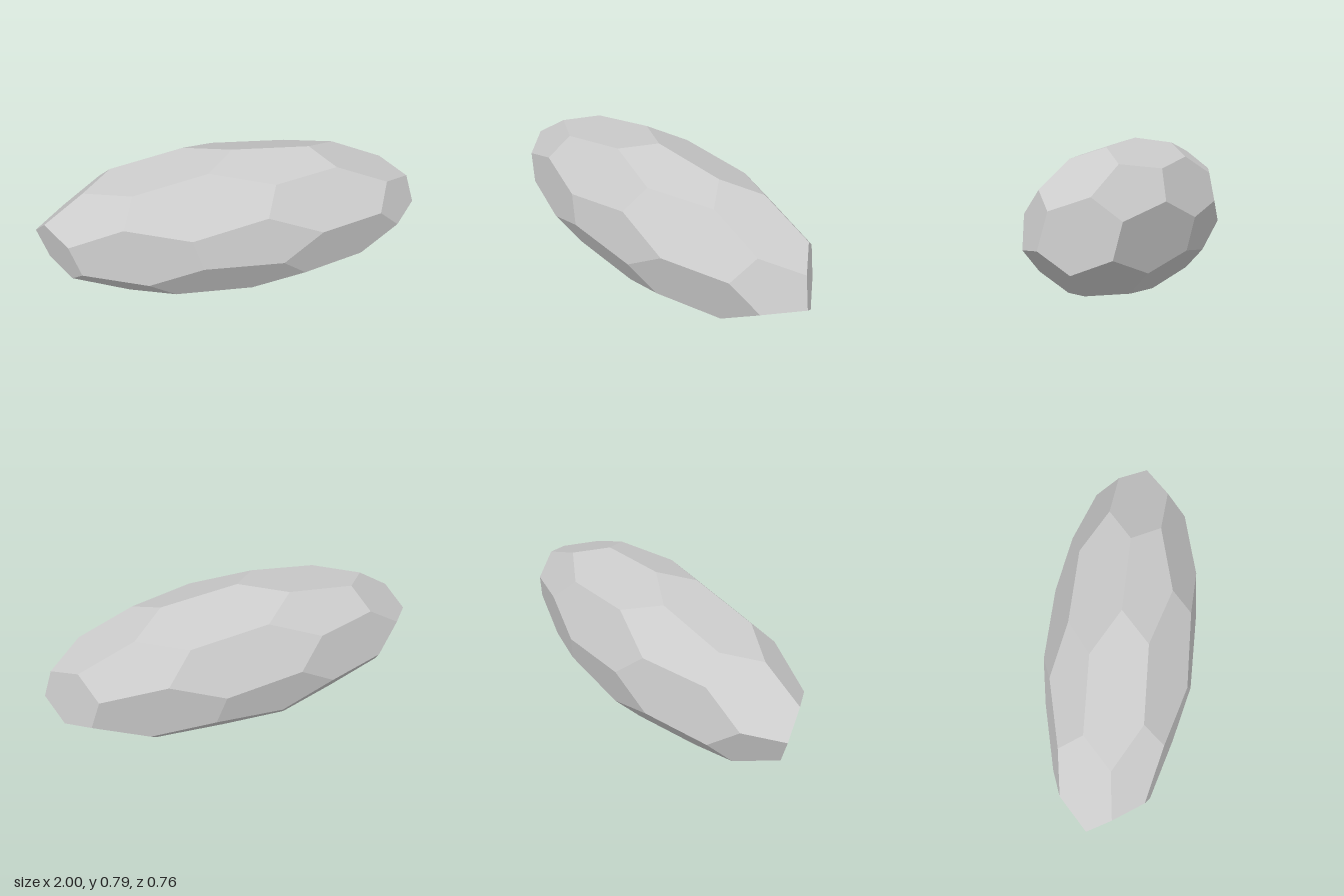
import * as THREE from 'three';

// Stretched truncated icosahedron: 12 pentagons and 20 hexagons
export function createModel() {
  const RADIUS = 0.3925;
  const pos = new THREE.IcosahedronGeometry(1, 0).getAttribute('position');
  const corners = [];
  const addUnique = (list, v) => {
    if (!list.some((w) => w.distanceTo(v) < 1e-3)) list.push(v);
  };
  const third = (a, b) => a.clone().lerp(b, 1 / 3);

  // Cut every icosahedron edge at its thirds
  const points = [], axes = [];
  for (let i = 0; i < pos.count; i += 3) {
    const tri = [0, 1, 2].map((k) => new THREE.Vector3().fromBufferAttribute(pos, i + k));
    corners.push(tri);
    tri.forEach((a, k) => {
      addUnique(axes, a.clone().normalize());
      addUnique(points, third(a, tri[(k + 1) % 3]));
      addUnique(points, third(a, tri[(k + 2) % 3]));
    });
  }
  for (const [a, b, c] of corners) axes.push(a.clone().add(b).add(c).normalize());

  // Stand it on one vertex, with a pentagon edge running towards +x
  const [a, b, c] = corners[0];
  const p = third(a, c), q = third(a, b);
  const up = p.clone().normalize();
  const right = q.clone().sub(p);
  right.addScaledVector(up, -right.dot(up)).normalize();
  const front = new THREE.Vector3().crossVectors(right, up);
  const turn = new THREE.Matrix4().makeBasis(right, up, front).transpose();
  const size = RADIUS / p.length();
  points.forEach((v) => v.applyMatrix4(turn).multiplyScalar(size));
  axes.forEach((v) => v.applyMatrix4(turn));
  const stretch = 1 / Math.max(...points.map((v) => v.x));

  // Each face: the points farthest along its axis, ordered around it
  const verts = [];
  for (const n of axes) {
    const far = Math.max(...points.map((v) => v.dot(n)));
    const ring = points.filter((v) => v.dot(n) > far - 1e-3);
    const e1 = ring[0].clone().addScaledVector(n, -far).normalize();
    const e2 = new THREE.Vector3().crossVectors(n, e1);
    const angle = (v) => Math.atan2(v.dot(e2), v.dot(e1));
    ring.sort((v, w) => angle(v) - angle(w));
    for (let i = 1; i < ring.length - 1; i++) {
      for (const v of [ring[0], ring[i], ring[i + 1]]) verts.push(v.x * stretch, v.y + RADIUS, v.z);
    }
  }

  const geometry = new THREE.BufferGeometry();
  geometry.setAttribute('position', new THREE.Float32BufferAttribute(verts, 3));
  geometry.computeVertexNormals();
  const body = new THREE.Mesh(geometry, new THREE.MeshStandardMaterial({ color: 0xcccccc, flatShading: true }));
  body.name = 'facetedBody';
  const group = new THREE.Group();
  group.name = 'stretchedBall';
  group.add(body);
  return group;
}
